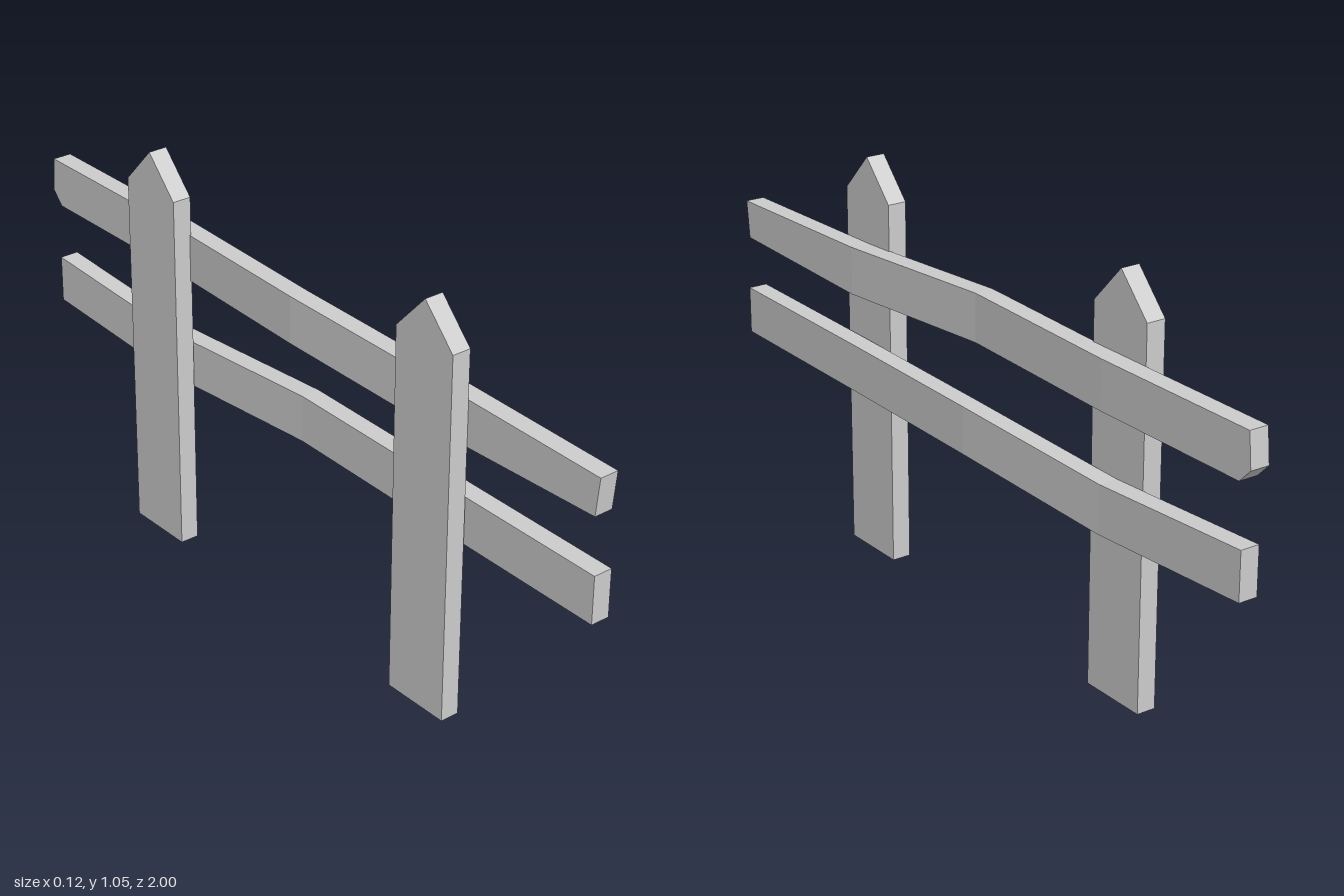
import * as THREE from 'three';

const wood = new THREE.MeshStandardMaterial({ color: 0xcccccc, flatShading: true, side: THREE.DoubleSide });

// Pointed picket with an open foot, where it meets the ground
function postGeometry(width, shoulder, height, depth) {
  const h = width / 2;
  const outline = new THREE.Shape([[-h, 0], [h, 0], [h, shoulder], [0, height], [-h, shoulder]]
    .map(([x, y]) => new THREE.Vector2(x, y)));
  const solid = new THREE.ExtrudeGeometry(outline, { depth, bevelEnabled: false }).rotateY(Math.PI / 2);
  const p = solid.attributes.position;
  const kept = [];
  for (let i = 0; i < p.count; i += 3) {
    if (Math.max(p.getY(i), p.getY(i + 1), p.getY(i + 2)) < 1e-6) continue;
    for (let k = i; k < i + 3; k++) kept.push(p.getX(k), p.getY(k), p.getZ(k));
  }
  return facets(kept);
}

// Bent plank lofted through sections [zTop, yTop, zBottom, yBottom, xInner], from +z to -z
function railGeometry(sections, thickness) {
  const rings = sections.map(([zt, yt, zb, yb, x]) => [
    [x, yb, zb], [x + thickness, yb, zb], [x + thickness, yt, zt], [x, yt, zt],
  ]);
  const out = [];
  const quad = (a, b, c, d) => out.push(...a, ...b, ...c, ...a, ...c, ...d);
  for (let i = 0; i < rings.length - 1; i++) {
    const r = rings[i], n = rings[i + 1];
    for (let j = 0; j < 4; j++) {
      const k = (j + 1) % 4;
      quad(r[j], n[j], n[k], r[k]);
    }
  }
  const end = rings[rings.length - 1];
  quad(...rings[0]);
  quad(end[3], end[2], end[1], end[0]);
  return facets(out);
}

function facets(positions) {
  const g = new THREE.BufferGeometry();
  g.setAttribute('position', new THREE.Float32BufferAttribute(positions, 3));
  g.computeVertexNormals();
  return g;
}

export function createModel() {
  const group = new THREE.Group();
  group.name = 'fence';
  const add = (name, geometry, x = 0, z = 0) => {
    const mesh = new THREE.Mesh(geometry, wood);
    mesh.name = name;
    mesh.position.set(x, 0, z);
    group.add(mesh);
  };

  // Two posts behind the rails
  const post = postGeometry(0.186, 0.953, 1.052, 0.05);
  add('frontPost', post, -0.06, 0.5);
  add('backPost', post, -0.06, -0.5);

  // Upper rail bows inwards and has a chipped lower corner at the back end
  add('upperRail', railGeometry([
    [1.0, 0.818, 0.99, 0.72, -0.01],
    [0.5, 0.83, 0.5, 0.707, -0.01],
    [0, 0.853, 0, 0.73, -0.03],
    [-0.5, 0.853, -0.5, 0.73, -0.01],
    [-0.965, 0.853, -0.965, 0.73, -0.01],
    [-0.992, 0.853, -1.0, 0.765, -0.01],
  ], 0.05));

  // Lower rail bows outwards and dips at the back post
  add('lowerRail', railGeometry([
    [1.0, 0.578, 1.0, 0.455, -0.01],
    [0.5, 0.578, 0.5, 0.455, -0.003],
    [0, 0.577, 0, 0.455, 0.007],
    [-0.5, 0.554, -0.5, 0.431, -0.01],
    [-0.98, 0.578, -0.98, 0.455, -0.01],
  ], 0.05));

  return group;
}
